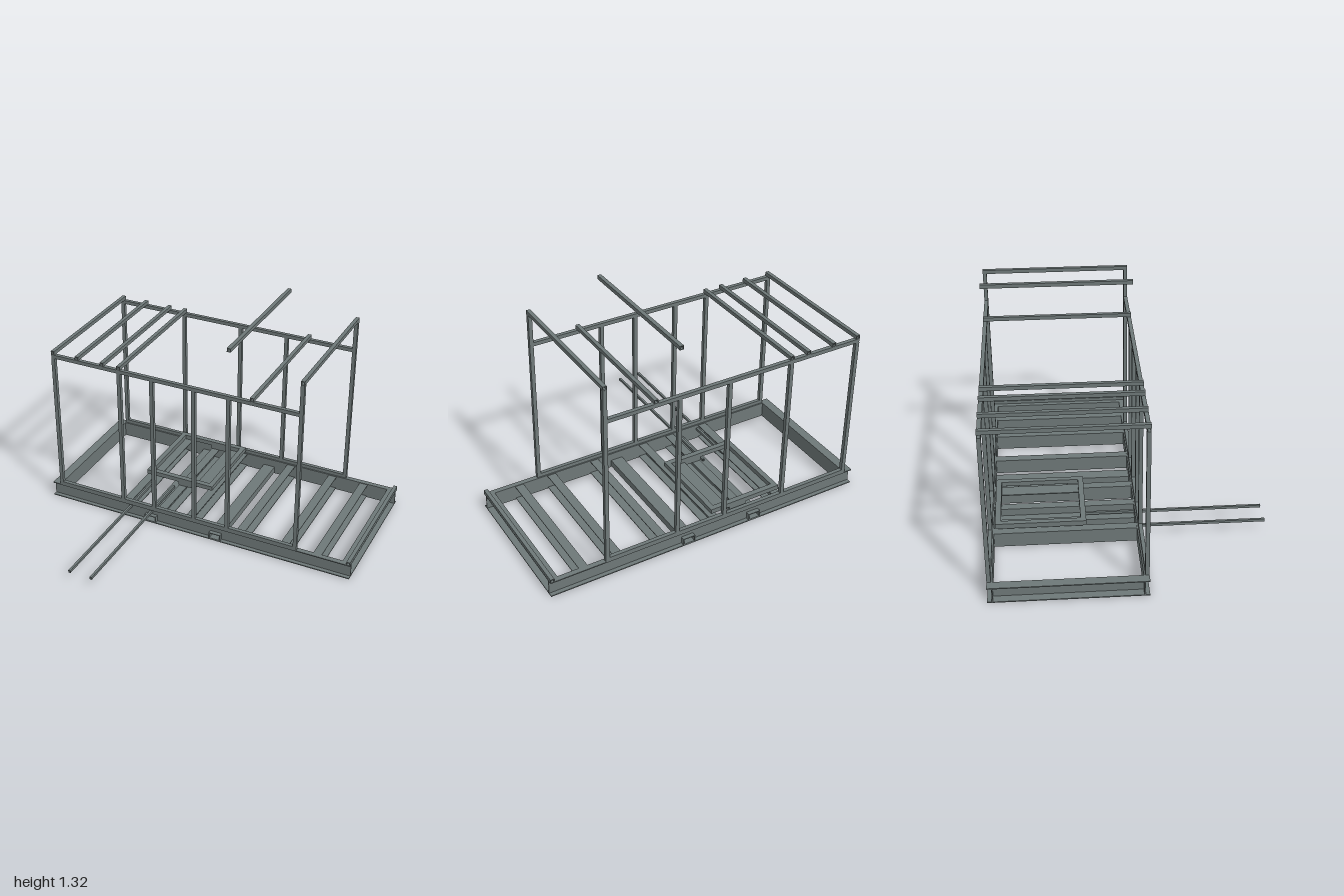
import * as THREE from 'three';

const STEEL = new THREE.MeshStandardMaterial({ color: 0x6e7878 });
const T = 0.023;                 // square tube size
const FRONT = 0.08, BACK = -0.8; // outer edges of the base in z
const MID = (FRONT + BACK) / 2, DEPTH = FRONT - BACK;
const DECK = 0.097;              // top of the base

export function createModel() {
  const model = new THREE.Group();

  function add(geometry, name, x = 0, y = 0, z = 0, parent = model) {
    const mesh = new THREE.Mesh(geometry, STEEL);
    mesh.name = name;
    mesh.position.set(x, y, z);
    parent.add(mesh);
    return mesh;
  }
  const group = (name) => {
    const g = new THREE.Group();
    g.name = name;
    model.add(g);
    return g;
  };
  const rect = (w, h, Kind = THREE.Shape, cx = 0, cy = 0) => new Kind([
    [-w, -h], [w, -h], [w, h], [-w, h],
  ].map(([x, y]) => new THREE.Vector2(cx + x / 2, cy + y / 2)));

  // Extrusion centred on its length, turned to run along x, y or z
  function profile(shape, length, axis) {
    const g = new THREE.ExtrudeGeometry(shape, { depth: length, bevelEnabled: false });
    g.translate(0, 0, -length / 2);
    if (axis === 'x') g.rotateY(Math.PI / 2);
    if (axis === 'y') g.rotateX(-Math.PI / 2);
    return g;
  }
  function hollow(length, axis, w = T, h = T, wall = 0.003) {
    const shape = rect(w, h);
    shape.holes.push(rect(w - 2 * wall, h - 2 * wall, THREE.Path));
    return profile(shape, length, axis);
  }
  // C section along z, web at x = 0, flanges reaching to x = w (w may be negative)
  function channel(w, h, length, t = 0.006) {
    const s = Math.sign(w) * t;
    const pts = [[0, 0], [w, 0], [w, t], [s, t], [s, h - t], [w, h - t], [w, h], [0, h]];
    return profile(new THREE.Shape(pts.map(([x, y]) => new THREE.Vector2(x, y))), length, 'z');
  }

  // Base: long rails with outward flanges and openings for the lifting pockets
  const base = group('base');
  const pockets = [-0.303, 0.137];
  for (const [name, zWeb, out] of [['frontRail', 0.055, 1], ['backRail', -0.775, -1]]) {
    const web = rect(2, DECK, THREE.Shape, 0, DECK / 2);
    for (const x of pockets) web.holes.push(rect(0.066, 0.032, THREE.Path, x, 0.027));
    add(profile(web, 0.006, 'z'), name + 'Web', 0, 0, zWeb - out * 0.003, base);
    for (const y of [0.003, DECK - 0.003]) {
      add(new THREE.BoxGeometry(2, 0.006, 0.025), name + 'Flange', 0, y, zWeb + out * 0.0125, base);
    }
  }

  // End channels and floor joists
  const inner = 0.83;
  for (const s of [-1, 1]) {
    add(channel(s * 0.055, DECK, inner), 'endChannel', s * 0.945, 0, MID, base);
  }
  for (const x of [-0.505, -0.265, -0.075, 0.265, 0.552, 0.762]) {
    add(channel(0.053, DECK - 0.008, inner - 0.012, 0.005), 'floorJoist', x, 0.004, MID, base);
  }

  // Lifting pockets running through the base
  for (const x of pockets) {
    add(hollow(DEPTH, 'z', 0.076, 0.042, 0.005), 'liftingPocket', x, 0.027, MID, base);
  }

  // Upright frame: posts, sills and top rails on both sides
  const sides = [
    ['front', FRONT - T / 2, [-0.935, -0.49, -0.275, -0.005, 0.215]],
    ['back', BACK + T / 2, [-0.935, -0.49, -0.095, 0.215]],
  ];
  const frame = group('uprightFrame');
  for (const [side, z, posts] of sides) {
    for (const x of posts) {
      add(hollow(1 - DECK, 'y'), side + 'Post', x, (1 + DECK) / 2, z, frame);
    }
    add(hollow(1.2 - DECK, 'y'), side + 'TallPost', 0.655, (1.2 + DECK) / 2, z, frame);
    add(hollow(1.59, 'x'), side + 'Sill', -0.15, DECK + T / 2, z, frame);
    add(hollow(1.59, 'x'), side + 'TopRail', -0.15, 1 + T / 2, z, frame);
  }

  // Roof cross tubes, plus the one lying on the end of the base
  const crossTubes = [
    [-0.935, 1.035], [-0.77, 1.035], [-0.6, 1.035], [-0.49, 1.035], [0.36, 1.035],
    [0.215, 1.312], [0.655, 1.212], [0.988, DECK + 0.009],
  ];
  for (const [x, y] of crossTubes) {
    add(hollow(DEPTH, 'z'), 'crossTube', x, y, MID, frame);
  }

  // Raised mounting frame on the floor
  const mount = group('mountingFrame');
  const x0 = -0.49, x1 = -0.03, z0 = -0.76, z1 = -0.24, bar = 0.032;
  for (const z of [z0 + bar / 2, z1 - bar / 2]) {
    add(new THREE.BoxGeometry(x1 - x0, 0.028, bar), 'mountCrossBar', (x0 + x1) / 2, 0.134, z, mount);
    add(new THREE.BoxGeometry(0.11, 0.036, bar), 'mountBlock', -0.21, 0.115, z, mount);
  }
  for (const x of [x0 + bar / 2, x1 - bar / 2]) {
    add(new THREE.BoxGeometry(bar, 0.028, z1 - z0 - 2 * bar), 'mountSideBar', x, 0.134, (z0 + z1) / 2, mount);
  }
  for (const [x, w] of [[-0.445, 0.08], [-0.112, 0.085]]) {
    add(new THREE.BoxGeometry(w, 0.006, z1 - z0 - 0.03), 'mountPlate', x, 0.116, (z0 + z1) / 2, mount);
  }

  // Pair of long slide rods reaching out at the front
  for (const x of [-0.445, -0.303]) {
    add(hollow(1.05, 'z', 0.014, 0.016, 0.003), 'slideRod', x, 0.069, 0.275);
  }

  return model;
}
